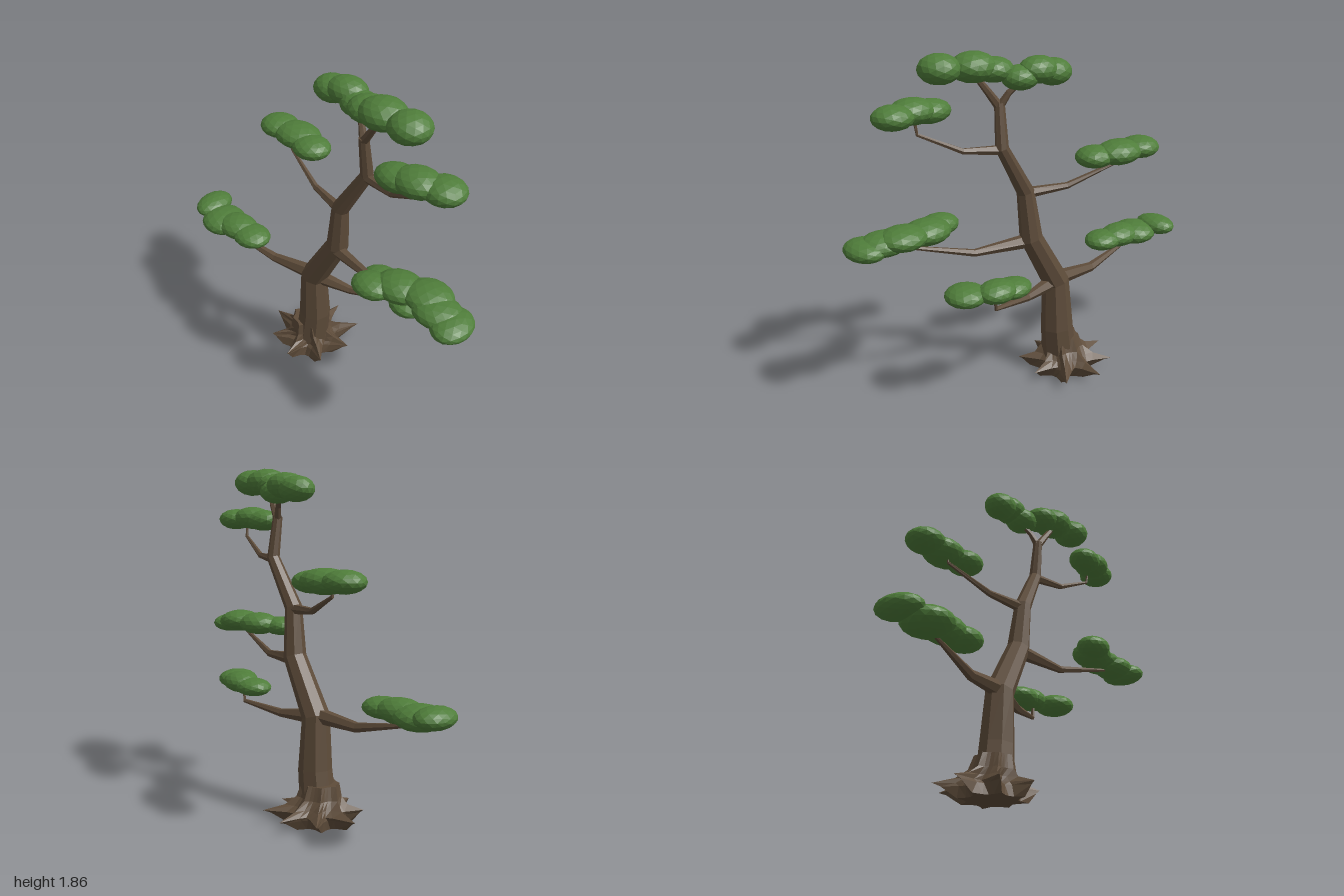
import * as THREE from 'three';

const bark = new THREE.MeshStandardMaterial({ color: 0x5e4c3a, flatShading: true });
const leaf = new THREE.MeshStandardMaterial({ color: 0x4f7d3a, flatShading: true });
const V = (x, y, z) => new THREE.Vector3(x, y, z);

// Closed skin over a list of rings (each an equal-length loop of points, counter-clockwise about the path)
function skin(rings) {
  const n = rings[0].length, pos = [], idx = [];
  const centre = r => r.reduce((a, p) => a.add(p), V(0, 0, 0)).divideScalar(n);
  rings.forEach(r => r.forEach(p => pos.push(p.x, p.y, p.z)));
  for (let i = 0; i < rings.length - 1; i++) {
    for (let j = 0; j < n; j++) {
      const a = i * n + j, b = i * n + (j + 1) % n;
      idx.push(a, b, b + n, a, b + n, a + n);
    }
  }
  const last = (rings.length - 1) * n, c = rings.length * n;
  [rings[0], rings[rings.length - 1]].forEach(r => pos.push(...centre(r).toArray()));
  for (let j = 0; j < n; j++) {
    const k = (j + 1) % n;
    idx.push(c, k, j, c + 1, last + j, last + k);
  }
  const g = new THREE.BufferGeometry();
  g.setAttribute('position', new THREE.Float32BufferAttribute(pos, 3));
  g.setIndex(idx);
  g.computeVertexNormals();
  return g;
}

// Tapered limb through stations [x, y, z, radius]
function limb(name, stations, sides) {
  const pts = stations.map(s => V(s[0], s[1], s[2]));
  const rings = pts.map((p, i) => {
    const t = pts[Math.min(i + 1, pts.length - 1)].clone().sub(pts[Math.max(i - 1, 0)]).normalize();
    const u = V(0, 0, 1).addScaledVector(t, -t.z).normalize();
    const v = t.clone().cross(u);
    return Array.from({ length: sides }, (_, j) => {
      const a = (j / sides) * Math.PI * 2, r = stations[i][3];
      return p.clone().addScaledVector(u, Math.cos(a) * r).addScaledVector(v, Math.sin(a) * r);
    });
  });
  const m = new THREE.Mesh(skin(rings), bark);
  m.name = name;
  return m;
}

// Foliage pad made of squashed, overlapping faceted balls [x, y, z, rx, ry, rz]
function pad(name, blobs) {
  const g = new THREE.Group();
  g.name = name;
  blobs.forEach(([x, y, z, rx, ry, rz], i) => {
    const m = new THREE.Mesh(new THREE.IcosahedronGeometry(1, 2).rotateY(i * 1.3 + x), leaf);
    m.position.set(x, y, z);
    m.scale.set(rx, ry, rz);
    m.name = 'foliageClump';
    g.add(m);
  });
  return g;
}

// Root flare: star-shaped sections [y, valley radius, tip radius, centre z]
function roots() {
  const sections = [
    [0, 0.125, 0.175, -0.055], [0.055, 0.13, 0.235, -0.08], [0.072, 0.125, 0.265, -0.095],
    [0.1, 0.11, 0.165, -0.08], [0.14, 0.098, 0.12, -0.06], [0.21, 0.085, 0.1, -0.05],
  ];
  const spikes = 8;
  const rings = sections.map(([y, valley, tip, cz]) =>
    Array.from({ length: spikes * 4 }, (_, j) => {
      const a = (j / (spikes * 4)) * Math.PI * 2;
      const k = [1, 0.2, 0, 0.2][j % 4];
      const wobble = 1 + 0.05 * Math.sin((j >> 2) * 2.4) * k;
      const r = (valley + (tip - valley) * k) * wobble;
      return V(-0.16 + Math.sin(a) * r, y, cz + Math.cos(a) * r);
    }));
  const m = new THREE.Mesh(skin(rings), bark);
  m.name = 'rootFlare';
  return m;
}

export function createModel() {
  const tree = new THREE.Group();
  tree.name = 'tree';

  tree.add(roots());
  tree.add(limb('trunk', [
    [-0.15, 0.02, -0.055, 0.1], [-0.12, 0.28, -0.055, 0.09], [-0.115, 0.56, -0.045, 0.075],
    [0.055, 0.86, -0.03, 0.062], [0.08, 1.12, -0.015, 0.047], [0.235, 1.38, -0.015, 0.035],
    [0.225, 1.6, 0.01, 0.026],
  ], 8));

  // Branches
  const branches = {
    lowRightBranch: [[-0.11, 0.57, -0.045, 0.045], [-0.4, 0.55, -0.045, 0.027], [-0.75, 0.62, -0.03, 0.008]],
    lowLeftBranch: [[-0.11, 0.56, -0.045, 0.045], [0.12, 0.545, -0.07, 0.023], [0.375, 0.58, -0.11, 0.011], [0.38, 0.66, -0.11, 0.008]],
    midLeftBranch: [[0.05, 0.84, -0.02, 0.04], [0.36, 0.83, 0.07, 0.02], [0.72, 0.93, 0.2, 0.008]],
    midRightBranch: [[0.07, 1.11, -0.02, 0.03], [-0.14, 1.12, -0.1, 0.018], [-0.38, 1.215, -0.21, 0.009], [-0.38, 1.27, -0.22, 0.007]],
    highLeftBranch: [[0.235, 1.37, -0.01, 0.026], [0.42, 1.385, 0.06, 0.016], [0.625, 1.49, 0.14, 0.009], [0.63, 1.56, 0.15, 0.008]],
    rightFork: [[0.225, 1.58, 0.01, 0.022], [0.19, 1.65, -0.02, 0.016], [0.12, 1.72, -0.07, 0.01]],
    leftFork: [[0.225, 1.58, 0.01, 0.024], [0.28, 1.66, 0.03, 0.019], [0.34, 1.75, 0.06, 0.013]],
  };
  for (const [name, s] of Object.entries(branches)) tree.add(limb(name, s, 6));

  // Foliage pads
  tree.add(pad('lowRightPad', [
    [-0.91, 0.695, -0.1, 0.09, 0.055, 0.125], [-0.78, 0.665, -0.04, 0.13, 0.065, 0.13],
    [-0.66, 0.675, -0.03, 0.13, 0.065, 0.1], [-0.54, 0.67, -0.01, 0.115, 0.055, 0.1],
  ]));
  tree.add(pad('lowLeftPad', [
    [0.28, 0.675, -0.13, 0.11, 0.05, 0.09], [0.38, 0.69, -0.13, 0.11, 0.058, 0.09],
    [0.51, 0.68, -0.04, 0.11, 0.055, 0.11],
  ]));
  tree.add(pad('midLeftPad', [
    [0.45, 0.965, 0.24, 0.11, 0.055, 0.09], [0.57, 0.975, 0.18, 0.13, 0.065, 0.11],
    [0.72, 0.985, 0.17, 0.13, 0.06, 0.115], [0.8, 0.965, 0.22, 0.13, 0.06, 0.11],
    [0.89, 0.95, 0.245, 0.1, 0.055, 0.125],
  ]));
  tree.add(pad('midRightPad', [
    [-0.51, 1.295, -0.27, 0.11, 0.058, 0.105], [-0.37, 1.29, -0.25, 0.14, 0.065, 0.11],
    [-0.24, 1.28, -0.2, 0.11, 0.058, 0.1],
  ]));
  tree.add(pad('highLeftPad', [
    [0.52, 1.58, 0.18, 0.115, 0.06, 0.09], [0.62, 1.595, 0.18, 0.12, 0.065, 0.1],
    [0.74, 1.588, 0.16, 0.105, 0.06, 0.1],
  ]));
  tree.add(pad('crownRightPad', [
    [-0.03, 1.735, -0.1, 0.1, 0.068, 0.09], [0.06, 1.755, -0.09, 0.11, 0.068, 0.09],
    [0.15, 1.725, -0.06, 0.1, 0.062, 0.09],
  ]));
  tree.add(pad('crownLeftPad', [
    [0.25, 1.765, 0.02, 0.1, 0.062, 0.1], [0.35, 1.785, 0.05, 0.12, 0.075, 0.11],
    [0.515, 1.79, 0.095, 0.105, 0.073, 0.105],
  ]));
  return tree;
}
